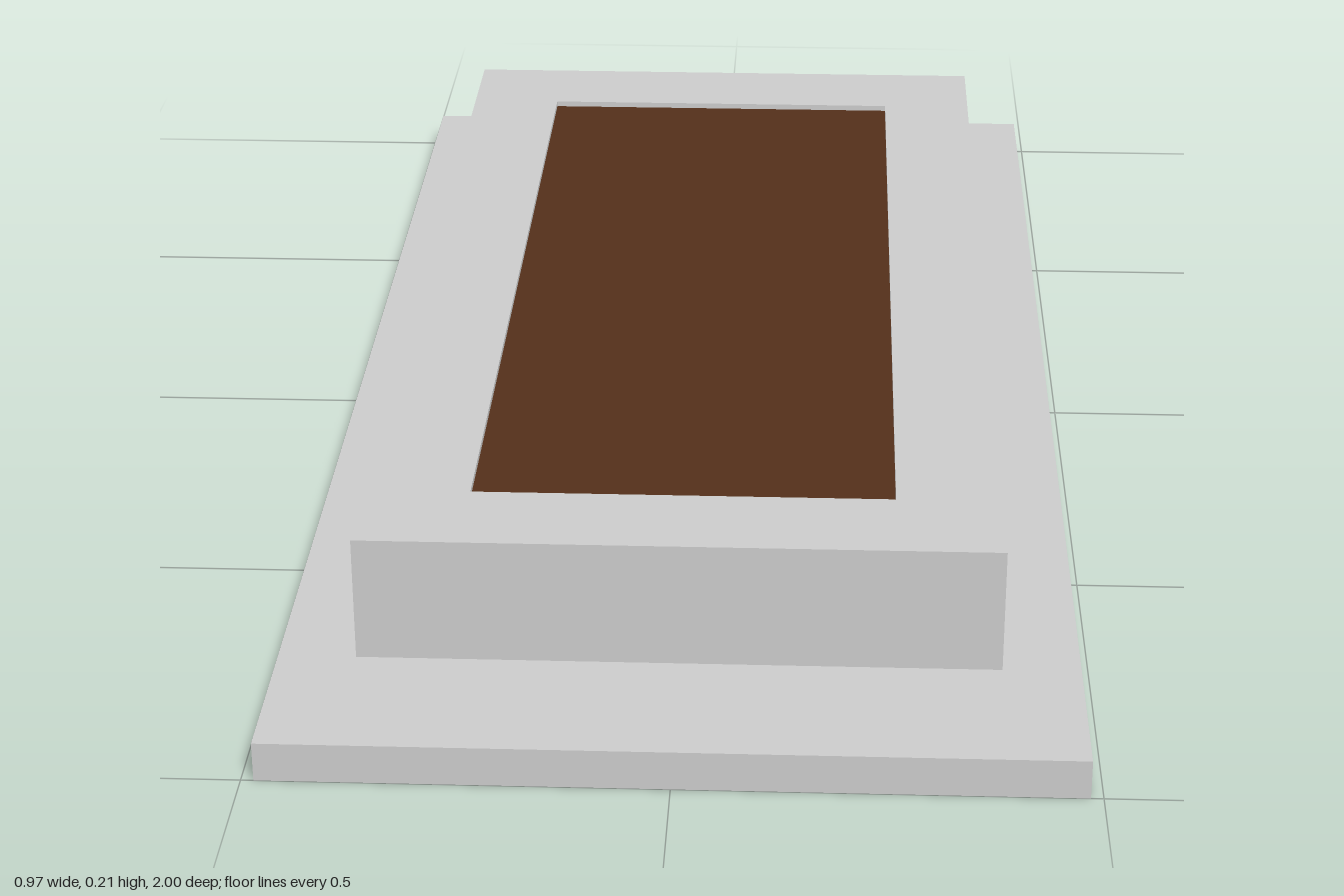
import * as THREE from 'three';

export function createModel() {
  const group = new THREE.Group();
  const grey = new THREE.MeshStandardMaterial({ color: 0xcccccc });
  const brown = new THREE.MeshStandardMaterial({ color: 0x54301a });

  const add = (name, geometry, material, y, z = 0) => {
    const mesh = new THREE.Mesh(geometry, material);
    mesh.name = name;
    mesh.position.set(0, y, z);
    group.add(mesh);
  };

  // Corners of a rectangle, in the x / -z plane
  const rectangle = (x, back, front) => [
    new THREE.Vector2(-x, -front), new THREE.Vector2(x, -front),
    new THREE.Vector2(x, -back), new THREE.Vector2(-x, -back),
  ];

  // Wide flat slab on the ground
  add('baseSlab', new THREE.BoxGeometry(0.97, 0.05, 2), grey, 0.025);

  // Raised border around a rectangular opening
  const border = new THREE.Shape(rectangle(0.39, -0.8, 0.8));
  border.holes.push(new THREE.Path(rectangle(0.26, -0.66, 0.67)));
  const borderGeometry = new THREE.ExtrudeGeometry(border, { depth: 0.16, bevelEnabled: false });
  borderGeometry.rotateX(-Math.PI / 2);
  add('raisedBorder', borderGeometry, grey, 0.05);

  // Brown filling, sunk slightly below the rim
  add('brownFilling', new THREE.BoxGeometry(0.52, 0.152, 1.33), brown, 0.126, 0.005);

  return group;
}
